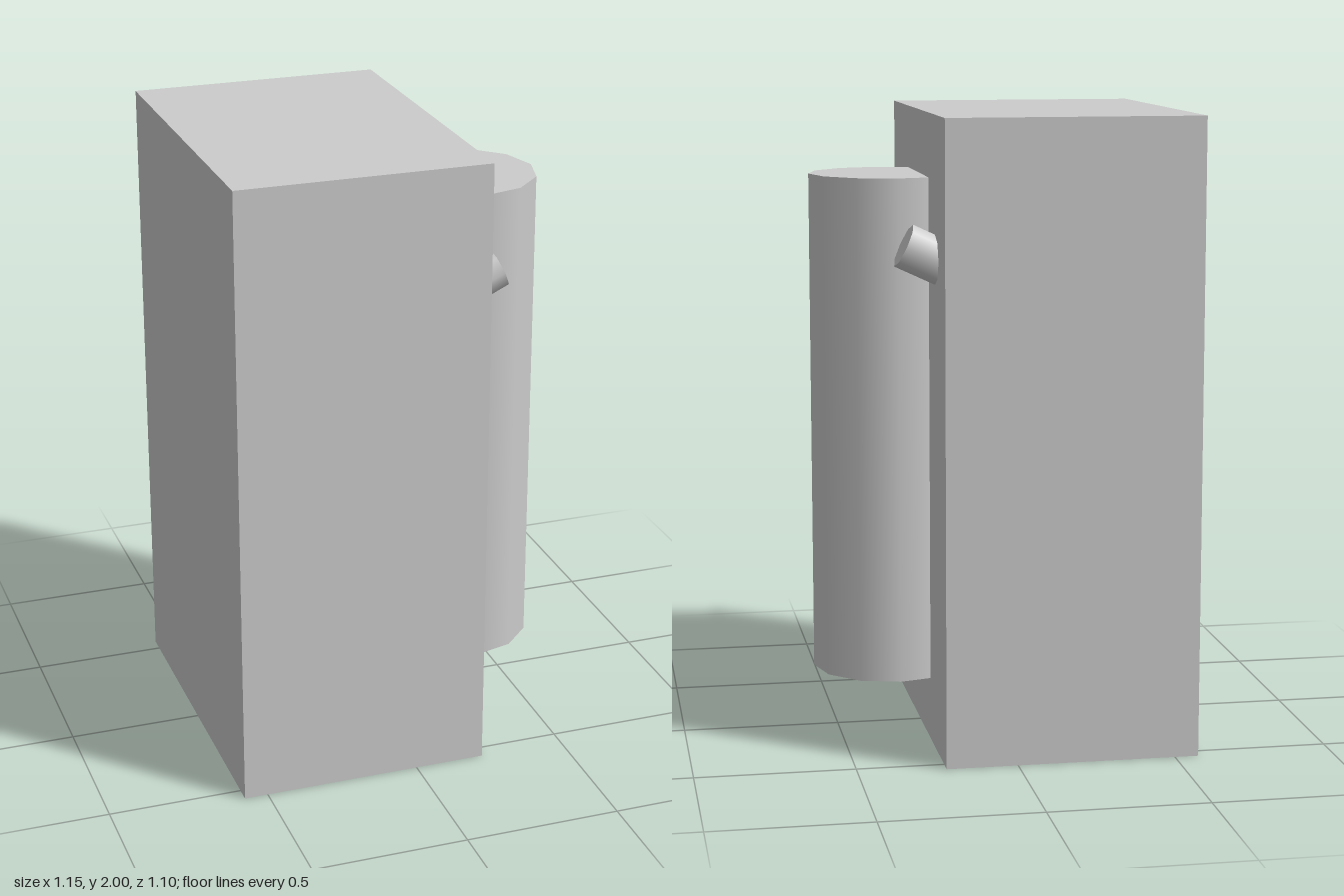
import * as THREE from 'three';

export function createModel() {
  const model = new THREE.Group();
  const grey = new THREE.MeshStandardMaterial({ color: 0xcccccc });
  grey.name = 'light grey';

  const add = (name, geometry, x, y, z) => {
    const mesh = new THREE.Mesh(geometry, grey);
    mesh.name = name;
    mesh.position.set(x, y, z);
    model.add(mesh);
    return mesh;
  };

  // Upright block
  add('body', new THREE.BoxGeometry(0.8, 2, 1.1), -0.175, 1, 0);

  // Twelve-sided column half sunk into the +x face, a corner pointing outwards
  add('column', new THREE.CylinderGeometry(0.25, 0.25, 1.6, 12), 0.325, 1, 0);

  // Pair of pegs tilted 25 degrees upwards, either side of the column
  for (const side of [1, -1]) {
    const peg = add(side > 0 ? 'frontPeg' : 'backPeg',
      new THREE.CylinderGeometry(0.07, 0.07, 0.2, 8), 0.231, 1.561, side * 0.35);
    peg.rotation.z = THREE.MathUtils.degToRad(-65);
  }

  return model;
}
